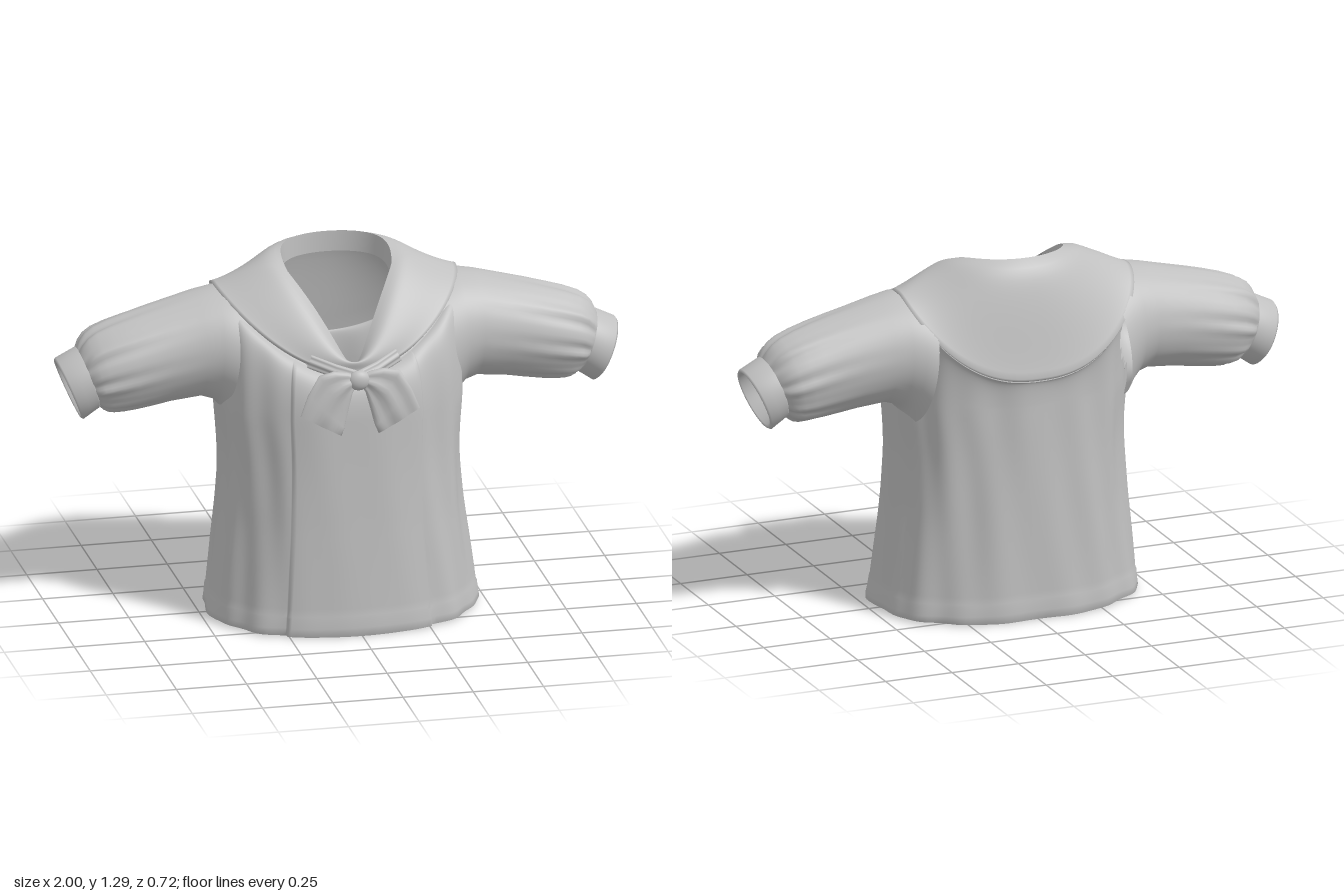
import * as THREE from 'three';

const { sin, cos, abs, sign, max, PI } = Math;
const V = (x, y, z) => new THREE.Vector3(x, y, z);
const cloth = new THREE.MeshStandardMaterial({ color: 0xc0c0c0, side: THREE.DoubleSide });
cloth.name = 'greyCloth';

// Skin a list of rings (equal point counts); skip(centre) leaves holes
function loft(name, rings, closed = true, skip = null) {
  const n = rings[0].length, index = [];
  for (let i = 0; i < rings.length - 1; i++) {
    for (let j = 0; j < (closed ? n : n - 1); j++) {
      const k = (j + 1) % n;
      const mid = rings[i][j].clone().add(rings[i + 1][k]).multiplyScalar(0.5);
      if (skip && skip(mid)) continue;
      const a = i * n + j, b = i * n + k, c = a + n, d = b + n;
      index.push(a, c, b, b, c, d);
    }
  }
  const g = new THREE.BufferGeometry().setFromPoints(rings.flat());
  g.setIndex(index);
  g.computeVertexNormals();
  const mesh = new THREE.Mesh(g, cloth);
  mesh.name = name;
  return mesh;
}

const steps = (n, a = 0, b = 1) => Array.from({ length: n + 1 }, (_, i) => a + (b - a) * i / n);
const pow = (v, e) => sign(v) * abs(v) ** e;

// Neck opening: egg-shaped, dipping to a V at the front
function neckPoint(a) {
  const s = sin(a), z = 0.22 * s;
  const y = 0.95 + 0.34 * (1 - ((z + 0.22) / 0.44) ** 2.6);
  return V(0.185 * cos(a) * (1 - 0.3 * s - 0.3 * max(s, 0)), y, z);
}

// Outer edge of the collar: pointed front, broad rounded back
function collarEdge(a) {
  const s = sin(a), c = cos(a);
  if (s > 0) return V(0.435 * c, 1.18 - 0.24 * s * s, -0.1 + 0.35 * s);
  return V(0.435 * pow(c, 0.85), 1.18 - 0.29 * abs(s) ** 1.5, -0.1 + 0.255 * pow(s, 0.85));
}

// Yoke surface from collar edge (t = 0) to neck (t = 1), rolled over near the neck
function yokePoint(a, t, inset = 0) {
  const p = collarEdge(a).lerp(neckPoint(a), t);
  const d = 0.022 * sin(PI * t ** 1.3) + 0.014 * sin(PI * t ** 4);
  const k = 1 - inset * 2 * (1 - t);
  p.x = (p.x + cos(a) * d * 0.4) * k;
  p.y += d * 0.8 - inset * (1 - t);
  p.z = (p.z + sin(a) * d * 0.8 + 0.1) * k - 0.1;
  return p;
}

// Half width, front z, back z from hem to chest
const CHEST = 0.78;
const girth = new THREE.CatmullRomCurve3([
  V(0.475, 0.343, -0.334), V(0.45, 0.333, -0.332), V(0.428, 0.322, -0.33),
  V(0.42, 0.312, -0.328), V(0.43, 0.303, -0.328)]);
const SEAM = 0.5;

function torsoPoint(a, y, inset = 0) {
  const g = girth.getPoint(y / CHEST), e = 2 / 2.4;
  const front = abs(a - PI / 2) < SEAM;
  const fold = 0.005 * sin(9 * a + 4 * y) + 0.003 * sin(17 * a - 6 * y);
  const out = (front ? 0.014 + fold * 0.3 : fold) + (y < 0.07 ? 0.003 : 0) - inset;
  const c = (g.y + g.z) / 2, r = (g.y - g.z) / 2;
  return V(pow(cos(a), e) * (g.x + (front ? 0 : out)), y, c + pow(sin(a), e) * (r + out));
}

function makeBody() {
  // Paired angles at each front seam give the panel a crisp step
  const angles = steps(159, 0, 2 * PI * 159 / 160);
  for (const m of [-1, 1]) angles.push(PI / 2 + m * (SEAM - 0.002), PI / 2 + m * (SEAM + 0.002));
  angles.sort((p, q) => p - q);
  const rings = [];
  rings.push(angles.map(a => torsoPoint(a, 0.05, 0.012)));
  rings.push(angles.map(a => torsoPoint(a, 0.004, 0.01)));
  for (const y of [0, 0.03, 0.066, 0.073, ...steps(22, 0.1, CHEST)]) {
    rings.push(angles.map(a => {
      const p = torsoPoint(a, y);
      if (y === 0) p.y = 0.006 + 0.006 * cos(2 * a);
      return p;
    }));
  }
  // Chest curving up to the yoke
  for (const t of steps(16).slice(1)) {
    rings.push(angles.map(a => {
      const A = torsoPoint(a, CHEST), B = yokePoint(a, 0, 0.015);
      const K = A.clone().lerp(B, 0.1);
      K.y = B.y;
      return new THREE.QuadraticBezierCurve3(A, K, B).getPoint(t);
    }));
  }
  for (const t of steps(8).slice(1)) rings.push(angles.map(a => yokePoint(a, t, 0.015)));
  const armhole = p => abs(p.x) > 0.33 &&
    ((p.y - 0.965) / 0.175) ** 2 + ((p.z + 0.06) / 0.175) ** 2 < 1;
  return loft('body', rings, true, armhole);
}

function makeCollar() {
  const group = new THREE.Group();
  group.name = 'collar';
  const angles = steps(127, 0, 2 * PI * 127 / 128);
  // Turned-under edge, then the cape surface
  const rings = [angles.map(a => yokePoint(a, 0.03, 0.014)), angles.map(a => yokePoint(a, 0, 0.01))];
  for (const t of steps(18)) rings.push(angles.map(a => yokePoint(a, t)));
  group.add(loft('collarCape', rings));
  // Stand inside the back of the neck
  const arc = steps(60, PI * 0.95, PI * 2.05);
  group.add(loft('collarStand', [0, -0.035, -0.075].map(d => arc.map(a => {
    const p = neckPoint(a);
    return V(p.x * (1 + d * 0.3), p.y + d, p.z);
  })), false));
  return group;
}

// Ring through a top and bottom point, with pleats of the given depth
function sleeveRing([tx, ty, bx, by, zc, zr, pleat = 0]) {
  return steps(95, 0, 2 * PI * 95 / 96).map(a => {
    const k = 1 + pleat * (sin(13 * a) + 0.5 * sin(21 * a + 1));
    const c = cos(a) * k;
    return V((tx + bx) / 2 + c * (tx - bx) / 2, (ty + by) / 2 + c * (ty - by) / 2,
      zc - sin(a) * k * zr);
  });
}

function makeSleeve() {
  const group = new THREE.Group();
  group.name = 'sleeve';
  group.add(loft('puffSleeve', [
    [0.33, 1.165, 0.395, 0.70, -0.068, 0.228],
    [0.38, 1.172, 0.418, 0.74, -0.067, 0.212],
    [0.43, 1.172, 0.445, 0.772, -0.066, 0.196],
    [0.50, 1.16, 0.49, 0.786, -0.067, 0.178],
    [0.60, 1.135, 0.60, 0.775, -0.065, 0.168, 0.004],
    [0.68, 1.115, 0.66, 0.765, -0.062, 0.163, 0.008],
    [0.75, 1.095, 0.72, 0.757, -0.06, 0.16, 0.014],
    [0.81, 1.076, 0.765, 0.753, -0.06, 0.156, 0.02],
    [0.86, 1.055, 0.80, 0.753, -0.06, 0.149, 0.028],
    [0.89, 1.034, 0.82, 0.758, -0.058, 0.14, 0.036],
    [0.91, 1.01, 0.836, 0.766, -0.056, 0.129, 0.034],
    [0.922, 0.988, 0.85, 0.778, -0.055, 0.116, 0.01],
  ].map(sleeveRing)));
  // Cuff band folded back inside
  group.add(loft('cuff', [
    [0.918, 0.975, 0.855, 0.795, -0.055, 0.104],
    [0.916, 0.986, 0.847, 0.778, -0.055, 0.115],
    [0.922, 0.988, 0.851, 0.772, -0.055, 0.118],
    [0.958, 0.97, 0.88, 0.752, -0.055, 0.117],
    [0.993, 0.953, 0.905, 0.734, -0.055, 0.114],
    [0.998, 0.945, 0.913, 0.738, -0.055, 0.108],
    [0.99, 0.937, 0.915, 0.75, -0.055, 0.101],
    [0.918, 0.972, 0.855, 0.797, -0.055, 0.1],
  ].map(sleeveRing)));
  return group;
}

// Flat padded ring between two edge points, ribbed on the face
function ribbonRing([ux, uy, lx, ly, z, depth, rib = 0]) {
  return steps(31, 0, 2 * PI * 31 / 32).map(a => {
    const c = cos(a);
    return V((ux + lx) / 2 + c * (ux - lx) / 2, (uy + ly) / 2 + c * (uy - ly) / 2,
      z + sin(a) * depth + rib * cos(c * 7) * sin(a));
  });
}

function makeBowHalf() {
  const group = new THREE.Group();
  group.name = 'bowHalf';
  group.add(loft('bowLoop', [
    [0.015, 0.945, 0.012, 0.90, 0.303, 0.012],
    [0.045, 0.957, 0.024, 0.878, 0.306, 0.018, 0.004],
    [0.09, 0.965, 0.034, 0.84, 0.31, 0.019, 0.005],
    [0.143, 0.955, 0.046, 0.79, 0.314, 0.017, 0.005],
    [0.185, 0.885, 0.055, 0.758, 0.32, 0.013, 0.004],
    [0.212, 0.815, 0.066, 0.732, 0.326, 0.009, 0.002],
    [0.195, 0.817, 0.078, 0.75, 0.324, 0.002],
  ].map(ribbonRing)));
  group.add(loft('neckTie', [
    [0.0, 0.955, 0.01, 0.925, 0.293, 0.012],
    [0.07, 0.975, 0.085, 0.93, 0.27, 0.012, 0.003],
    [0.15, 1.0, 0.17, 0.955, 0.222, 0.012, 0.003],
  ].map(ribbonRing)));
  return group;
}

// Add a part and its mirror image
function addPair(parent, make, name) {
  for (const side of [1, -1]) {
    const part = make();
    part.name = (side > 0 ? 'left' : 'right') + name;
    part.scale.x = side;
    parent.add(part);
  }
}

export function createModel() {
  const model = new THREE.Group();
  model.name = 'blouse';
  model.add(makeBody(), makeCollar());
  addPair(model, makeSleeve, 'Sleeve');
  addPair(model, makeBowHalf, 'BowHalf');
  // Bow knot
  const knot = new THREE.Mesh(new THREE.SphereGeometry(1, 24, 16), cloth);
  knot.name = 'bowKnot';
  knot.scale.set(0.04, 0.036, 0.024);
  knot.position.set(0, 0.925, 0.308);
  model.add(knot);
  return model;
}
